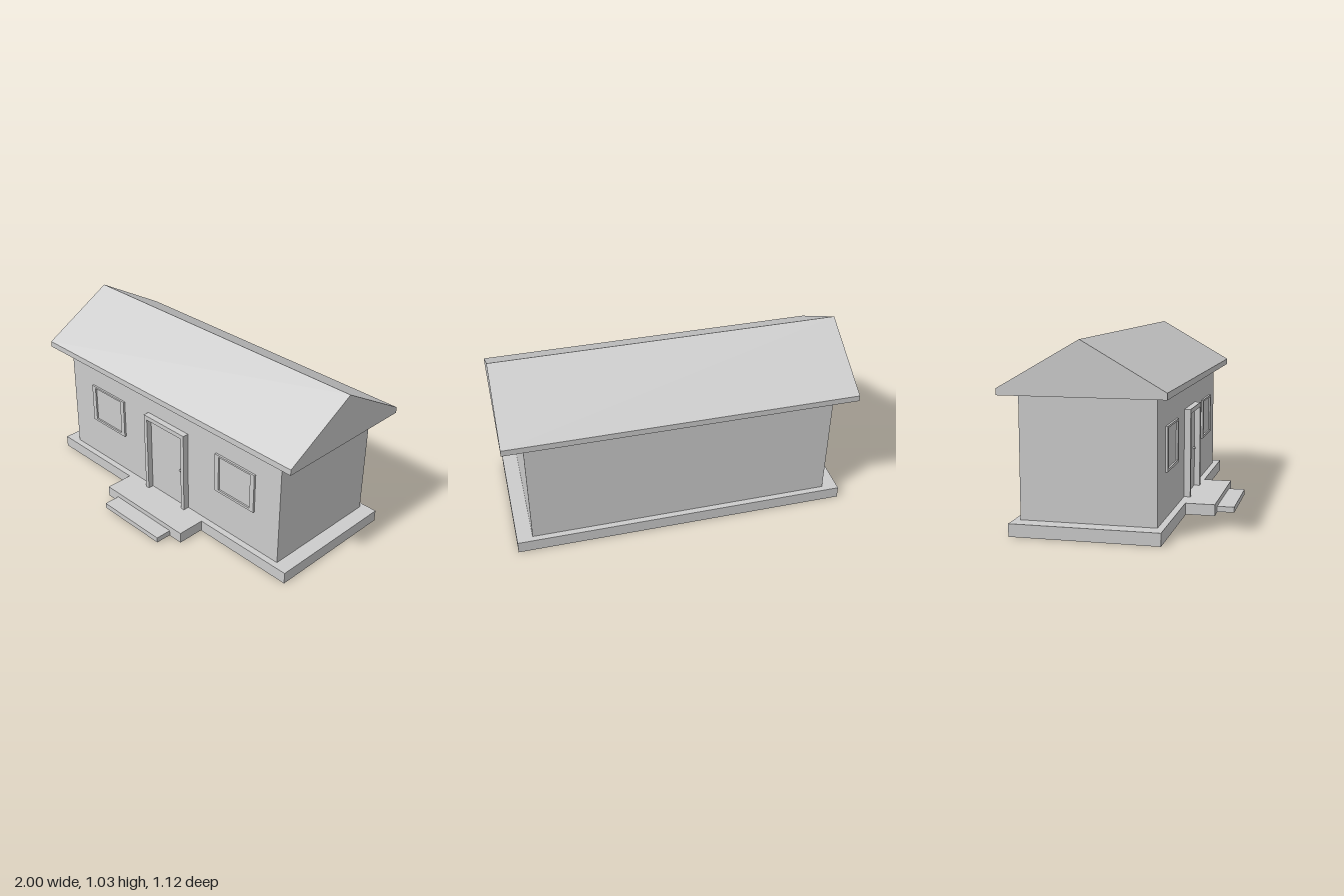
import * as THREE from 'three';

export function createModel() {
  const house = new THREE.Group();
  house.name = 'house';
  const plaster = new THREE.MeshStandardMaterial({ color: 0xcccccc });
  plaster.name = 'light grey';

  const add = (name, geometry) => {
    const mesh = new THREE.Mesh(geometry, plaster);
    mesh.name = name;
    house.add(mesh);
    return mesh;
  };
  // Box given by its min and max on each axis
  const box = (name, x0, x1, y0, y1, z0, z1) =>
    add(name, new THREE.BoxGeometry(x1 - x0, y1 - y0, z1 - z0))
      .position.set((x0 + x1) / 2, (y0 + y1) / 2, (z0 + z1) / 2);
  // Frame in the xy plane: an outer rectangle with a rectangular opening
  const rect = (P, x0, x1, y0, y1) => new P([[x0, y0], [x1, y0], [x1, y1], [x0, y1]]
    .map(([x, y]) => new THREE.Vector2(x, y)));
  const frame = (name, outer, inner, z0, z1) => {
    const shape = rect(THREE.Shape, ...outer);
    shape.holes.push(rect(THREE.Path, ...inner));
    add(name, new THREE.ExtrudeGeometry(shape, { depth: z1 - z0, bevelEnabled: false }))
      .position.z = z0;
  };

  // Base, porch and step
  box('foundation', -0.97, 0.97, 0, 0.07, -0.52, 0.293);
  box('porch', -0.323, 0.323, 0.005, 0.07, 0.293, 0.462);
  box('step', -0.235, 0.232, 0.008, 0.04, 0.462, 0.56);

  // Walls
  box('walls', -0.88, 0.88, 0.07, 0.745, -0.485, 0.255);

  // Gabled roof with upright eaves, a profile in z and y extruded along x
  const gable = new THREE.Shape([[-0.33, 0.745], [0.56, 0.745], [0.56, 0.78], [0.115, 1.035], [-0.33, 0.78]]
    .map(([x, y]) => new THREE.Vector2(x, y)));
  const roof = new THREE.ExtrudeGeometry(gable, { depth: 2, bevelEnabled: false });
  roof.translate(0, 0, -1).rotateY(Math.PI / 2);
  add('roof', roof);

  // Door, its frame and the knob
  box('door', -0.142, 0.147, 0.07, 0.558, 0.25, 0.258);
  for (const [side, x] of [['right', -0.167], ['left', 0.147]]) {
    box(side + 'DoorJamb', x, x + 0.025, 0.07, 0.585, 0.25, 0.292);
  }
  box('doorLintel', -0.142, 0.147, 0.558, 0.585, 0.25, 0.292);
  add('doorKnob', new THREE.SphereGeometry(0.008, 12, 8)).position.set(0.113, 0.31, 0.262);

  // Windows: a raised frame around a pane
  for (const [side, x] of [['right', -0.535], ['left', 0.55]]) {
    frame(side + 'WindowFrame', [x - 0.15, x + 0.15, 0.32, 0.566],
      [x - 0.12, x + 0.12, 0.335, 0.555], 0.25, 0.267);
    box(side + 'WindowPane', x - 0.12, x + 0.12, 0.335, 0.555, 0.25, 0.257);
  }
  return house;
}
